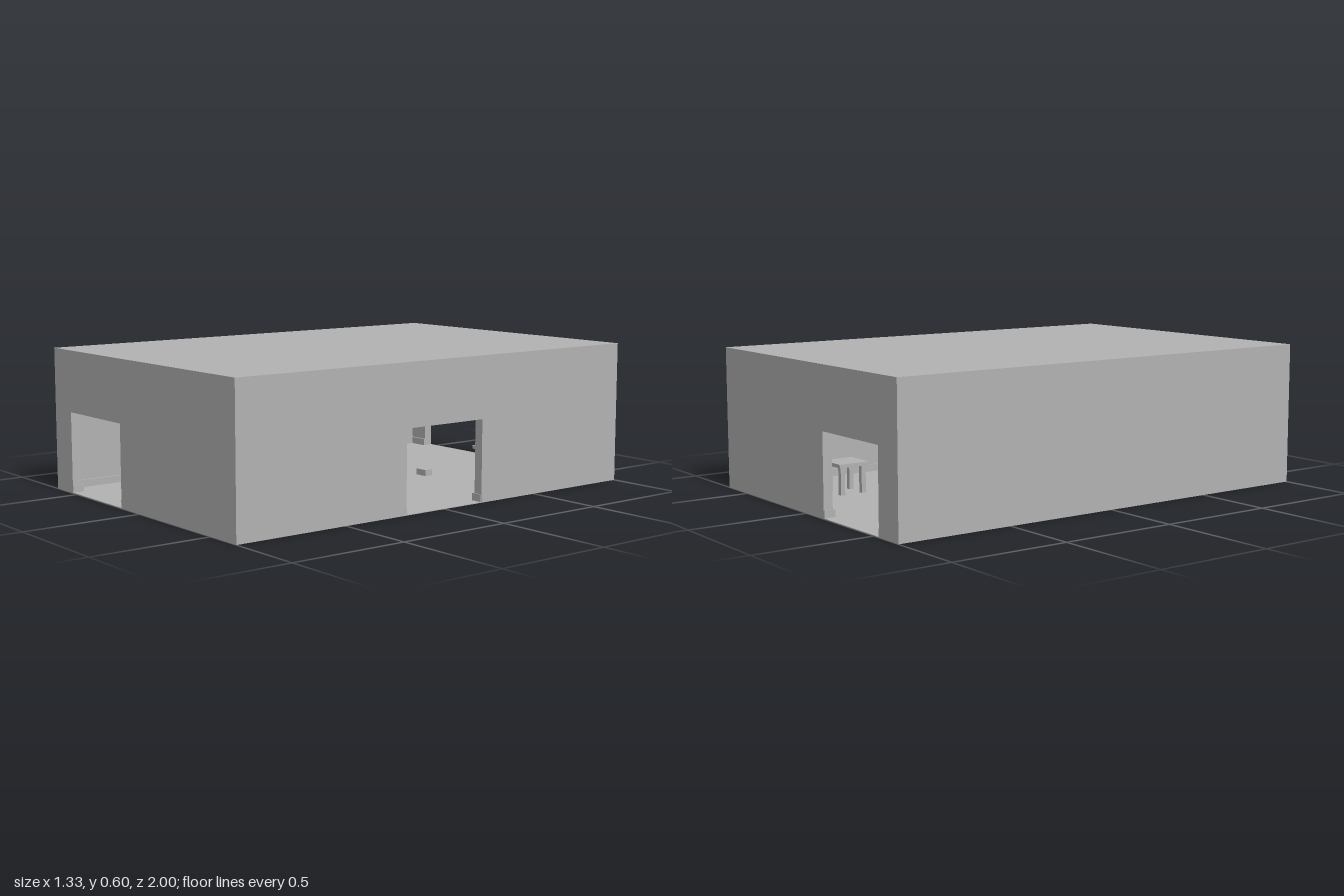
import * as THREE from 'three';

const W = 1.333, H = 0.6, D = 2, T = 0.04;      // outer size, wall thickness
const FLOOR = 0.003, CEIL = 0.565, DOOR_H = 0.342;

export function createModel() {
  const group = new THREE.Group();
  const grey = new THREE.MeshStandardMaterial({ color: 0xb2b2b2 });
  grey.name = 'plaster grey';

  function add(name, geometry, parent = group) {
    const mesh = new THREE.Mesh(geometry, grey);
    mesh.name = name;
    parent.add(mesh);
    return mesh;
  }
  // Box given by its min and max on each axis
  function box(name, x0, x1, y0, y1, z0, z1, parent) {
    const m = add(name, new THREE.BoxGeometry(x1 - x0, y1 - y0, z1 - z0), parent);
    m.position.set((x0 + x1) / 2, (y0 + y1) / 2, (z0 + z1) / 2);
    return m;
  }
  // Wall panel from u0 to u1, with an optional doorway from d0 to d1
  function wall(name, u0, u1, d0, d1) {
    const s = new THREE.Shape();
    s.moveTo(u0, 0);
    if (d0 !== undefined) {
      s.lineTo(d0, 0); s.lineTo(d0, DOOR_H); s.lineTo(d1, DOOR_H); s.lineTo(d1, 0);
    }
    s.lineTo(u1, 0); s.lineTo(u1, H); s.lineTo(u0, H);
    return add(name, new THREE.ExtrudeGeometry(s, { depth: T, bevelEnabled: false }));
  }

  // Shell
  const hx = W / 2, hz = D / 2, ix = hx - T, iz = hz - T;
  const d0 = -0.535, d1 = -0.136;
  wall('frontWall', -hx, hx, d0, d1).position.z = iz;
  wall('backWall', -hx, hx, d0, d1).position.z = -hz;
  const right = wall('doorSideWall', -iz, iz, -0.2, 0.2);
  right.rotation.y = Math.PI / 2;
  right.position.x = ix;
  const left = wall('plainSideWall', -iz, iz);
  left.rotation.y = Math.PI / 2;
  left.position.x = -hx;
  box('floor', -ix, ix, 0, FLOOR, -iz, iz);
  box('ceiling', -ix, ix, CEIL, H, -iz, iz);
  box('frontSill', d0, d1, 0, FLOOR, iz, hz);
  box('backSill', d0, d1, 0, FLOOR, -hz, -iz);
  box('sideSill', ix, hx, 0, FLOOR, -0.2, 0.2);

  // Skirting along the inside walls, wrapping into each doorway
  const skirting = new THREE.Group();
  skirting.name = 'skirting';
  group.add(skirting);
  const s = 0.01, w = 0.004, sh = 0.034;
  for (const k of [-1, 1]) {
    const za = k > 0 ? iz - s : -iz, zb = za + s;
    box('endSkirtingA', -ix, d0 + w, 0, sh, za, zb, skirting);
    box('endSkirtingB', d1 - w, ix, 0, sh, za, zb, skirting);
    const ja = k > 0 ? iz : -hz + 0.001, jb = ja + T - 0.001;
    box('jambSkirtingA', d0, d0 + w, 0, sh, ja, jb, skirting);
    box('jambSkirtingB', d1 - w, d1, 0, sh, ja, jb, skirting);
    const a = k > 0 ? 0.2 - w : -iz, b = k > 0 ? iz : -0.2 + w;
    box('sideSkirting', ix - s, ix, 0, sh, a, b, skirting);
    const j = k > 0 ? 0.2 - w : -0.2;
    box('sideJambSkirting', ix, hx - 0.001, 0, sh, j, j + w, skirting);
  }
  box('plainSideSkirting', -ix, -ix + s, 0, sh, -iz, iz, skirting);

  // Furniture against the plain side wall
  box('tallCabinet', -ix, -0.573, 0, 0.5, 0.27, 0.71);
  box('lowBench', -ix, -0.51, 0, 0.12, -0.25, 0.25);
  box('wallPicture', -ix, -ix + 0.02, 0.272, 0.42, -0.145, -0.07);

  // Small things on the floor
  box('floorBox', -0.455, -0.41, 0, 0.05, 0.14, 0.18);
  box('smallFloorBox', -0.42, -0.395, 0, 0.04, -0.14, -0.1);
  box('lowShelf', -0.51, -0.467, 0.012, 0.024, -0.4, -0.34);
  box('lowBlock', 0.04, 0.1, 0, 0.03, -0.44, -0.4);

  // Hanging lamp boxes
  box('hangingLampA', -0.26, -0.235, 0.29, CEIL, 0.3, 0.34);
  box('hangingLampB', -0.235, -0.21, 0.29, CEIL, 0.28, 0.32);

  // Small table in the back corner
  const table = new THREE.Group();
  table.name = 'table';
  group.add(table);
  for (const x of [0.21, 0.31])
    for (const z of [-0.72, -0.62]) box('tableLeg', x, x + 0.02, 0, 0.12, z, z + 0.02, table);
  box('tableTop', 0.2, 0.34, 0.12, 0.135, -0.73, -0.59, table);

  return group;
}
